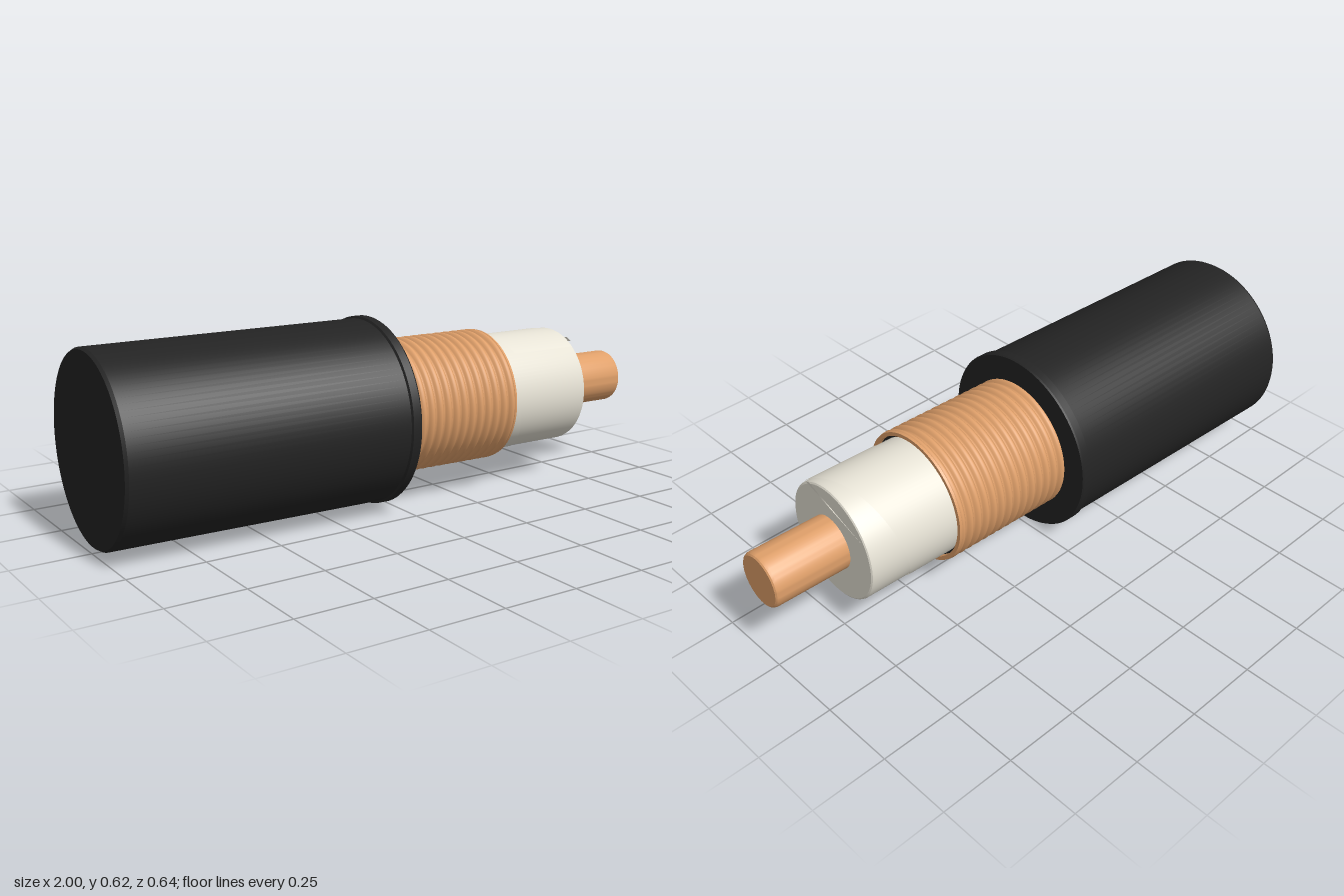
import * as THREE from 'three';
import { toCreasedNormals } from 'three/addons/utils/BufferGeometryUtils.js';

const material = (color, side = THREE.FrontSide) => new THREE.MeshStandardMaterial({ color, side });
const BLACK = 0x232323, COPPER = 0xe0a06a, FOIL = 0xe6e2d5;

// Turned part: profile of [radius, distance along the cable]
function turned(name, profile, color, smooth = false, segments = 96) {
  let geometry = new THREE.LatheGeometry(profile.map(([r, s]) => new THREE.Vector2(r, s)), segments);
  geometry.rotateZ(-Math.PI / 2);
  if (!smooth) geometry = toCreasedNormals(geometry, 0.5);
  const mesh = new THREE.Mesh(geometry, material(color));
  mesh.name = name;
  return mesh;
}

// Thin ribbon between two edges given as point functions of t in 0..1
function ribbon(name, edgeA, edgeB, steps, color) {
  const positions = [], index = [];
  for (let i = 0; i <= steps; i++) {
    positions.push(...edgeA(i / steps), ...edgeB(i / steps));
    const k = i * 2;
    if (i < steps) index.push(k, k + 1, k + 2, k + 1, k + 3, k + 2);
  }
  const geometry = new THREE.BufferGeometry();
  geometry.setAttribute('position', new THREE.Float32BufferAttribute(positions, 3));
  geometry.setIndex(index);
  geometry.computeVertexNormals();
  const mesh = new THREE.Mesh(geometry, material(color, THREE.DoubleSide));
  mesh.name = name;
  return mesh;
}

export function createModel() {
  const cable = new THREE.Group();
  cable.name = 'cable';

  // Outer jacket with a raised rim at the stripped end
  cable.add(turned('jacket', [
    [0, -0.99], [0.297, -0.99], [0.303, -0.98], [0.303, -0.056], [0.31, -0.052],
    [0.31, -0.025], [0.307, -0.02], [0.2, -0.02],
  ], BLACK));

  // Ridged copper shield, open at the end
  const ridges = 14, start = -0.03, end = 0.42, perRidge = 8;
  const shield = [];
  for (let i = 0; i <= ridges * perRidge; i++) {
    const t = i / (ridges * perRidge);
    const wave = Math.abs(Math.sin(Math.PI * ridges * t));
    shield.push([0.211 + 0.014 * wave, start + (end - start) * t]);
  }
  cable.add(turned('copperShield', shield, COPPER, true));
  cable.add(turned('shieldLip', [[0.216, 0.405], [0.224, 0.412], [0.222, 0.42], [0.209, 0.42], [0.209, 0.3]], COPPER));

  // Dark layer in the gap under the shield
  cable.add(turned('innerSleeve', [[0.208, -0.02], [0.208, 0.405], [0.198, 0.405]], BLACK));

  // Insulation and its spiral wrap
  cable.add(turned('insulation', [
    [0.199, 0], [0.199, 0.728], [0.197, 0.734], [0.192, 0.737], [0, 0.737],
  ], FOIL));
  const wrapPoint = (t, offset) => {
    const angle = THREE.MathUtils.degToRad(40 + 360 * t);
    const s = THREE.MathUtils.clamp(0.40 + 0.33 * t + offset, 0.38, 0.735);
    return [s, 0.2015 * Math.cos(angle), 0.2015 * Math.sin(angle)];
  };
  cable.add(ribbon('foilWrap', t => wrapPoint(t, 0), t => wrapPoint(t, -0.25), 96, FOIL));

  // Loose twisted end of the wrap, crossing the insulation face
  const lerp = (a, b) => t => a.map((v, i) => v + (b[i] - v) * t);
  cable.add(ribbon('looseWrapEnd',
    lerp([0.738, 0.17, 0.113], [0.75, 0.115, -0.167]),
    lerp([0.742, 0.18, 0.083], [0.74, 0.095, -0.167]), 8, FOIL));

  // Central conductor
  cable.add(turned('conductor', [
    [0.091, 0.7], [0.091, 0.985], [0.088, 0.993], [0.083, 0.997], [0, 0.997],
  ], COPPER, false, 64));

  // The cable lies slightly turned from the x axis
  cable.rotation.y = -0.0335;
  cable.position.set(0, 0.31, 0.0125);
  const model = new THREE.Group();
  model.name = 'strippedCable';
  model.add(cable);
  return model;
}
